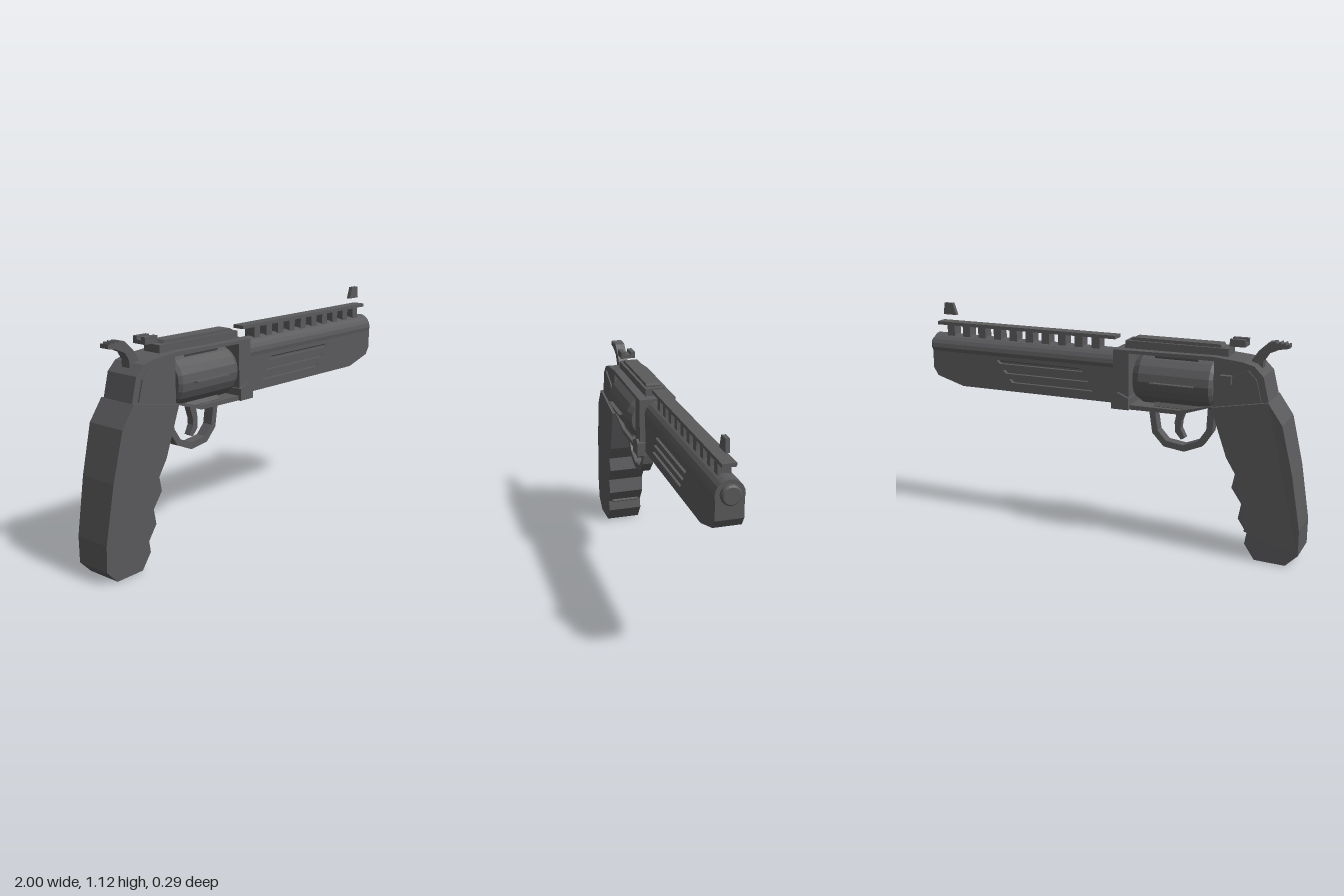
import * as THREE from 'three';

const metal = new THREE.MeshStandardMaterial({ color: 0x5a5a5c, flatShading: true });
metal.name = 'dark grey';

export function createModel() {
  const model = new THREE.Group();
  model.name = 'revolver';

  const add = (name, geometry) => {
    const mesh = new THREE.Mesh(geometry, metal);
    mesh.name = name;
    model.add(mesh);
    return mesh;
  };
  const points = (list) => list.map(([x, y]) => new THREE.Vector2(x, y));
  // Side profile extruded to +-half about z = 0
  const slab = (outline, half, holes = []) => {
    const shape = new THREE.Shape(points(outline));
    holes.forEach((h) => shape.holes.push(new THREE.Path(points(h))));
    const g = new THREE.ExtrudeGeometry(shape, { depth: half * 2, bevelEnabled: false });
    return g.translate(0, 0, -half);
  };
  // Box from x and y ranges and half width
  const block = (x0, x1, y0, y1, half, z = 0) =>
    new THREE.BoxGeometry(x1 - x0, y1 - y0, half * 2).translate((x0 + x1) / 2, (y0 + y1) / 2, z);
  // Rod along x, from [x, radius] pairs
  const rod = (profile, y, sides) =>
    new THREE.LatheGeometry(points(profile.map(([x, r]) => [r, x])), sides)
      .rotateZ(-Math.PI / 2).translate(0, y, 0);

  // Grip with finger grooves, narrowing towards the butt
  const grip = slab([
    [-0.83, 0.79], [-0.9, 0.69], [-0.955, 0.46], [-1, 0.19], [-1, 0.065], [-0.94, 0.005],
    [-0.79, 0.01], [-0.74, 0.085], [-0.75, 0.14], [-0.705, 0.21], [-0.72, 0.285],
    [-0.67, 0.36], [-0.685, 0.43], [-0.64, 0.505], [-0.56, 0.74],
  ], 1);
  const pos = grip.attributes.position;
  for (let i = 0; i < pos.count; i++) {
    pos.setZ(i, pos.getZ(i) * (0.09 + 0.017 * Math.min(1, pos.getY(i) / 0.7)));
  }
  grip.computeVertexNormals();
  add('grip', grip);
  add('gripPin', new THREE.CylinderGeometry(0.008, 0.008, 0.15, 8)
    .rotateX(Math.PI / 2).translate(-0.738, 0.145, 0));

  // Frame with the cylinder window
  add('frame', slab([
    [-0.83, 0.785], [-0.8, 0.905], [-0.755, 0.95], [-0.7, 0.965], [-0.56, 0.978],
    [-0.06, 0.972], [-0.06, 0.682], [-0.4, 0.685], [-0.56, 0.738],
  ], 0.092, [[[-0.565, 0.745], [-0.4, 0.705], [-0.14, 0.705], [-0.14, 0.958], [-0.565, 0.958]]]));
  add('frameCrane', slab([
    [-0.145, 0.682], [-0.055, 0.682], [-0.055, 0.75], [-0.085, 0.765], [-0.145, 0.74],
  ], 0.106));
  add('sidePlates', slab([
    [-0.795, 0.79], [-0.77, 0.89], [-0.73, 0.93], [-0.62, 0.88], [-0.62, 0.765],
  ], 0.1));
  add('latch', block(-0.655, -0.6, 0.86, 0.9, 0.015, -0.105));

  // Cylinder drum with axle and thin flute ridges
  add('drum', rod([
    [-0.565, 0], [-0.565, 0.112], [-0.55, 0.126], [-0.2, 0.126], [-0.165, 0.105], [-0.165, 0],
  ], 0.835, 20));
  add('drumAxle', rod([[-0.6, 0], [-0.6, 0.04], [-0.13, 0.04], [-0.13, 0]], 0.835, 12));
  for (let i = 0; i < 6; i++) {
    const ridge = block(-0.48, -0.265, -0.0025, 0.0025, 0.014, 0.133);
    add('drumRidge', ridge.rotateX((i * Math.PI) / 3).translate(0, 0.835, 0));
  }

  // Top strap and rear sight
  add('topStrap', block(-0.62, -0.105, 0.975, 1.012, 0.05));
  add('topStrapRidge', slab([
    [-0.585, 1.01], [-0.13, 1.01], [-0.13, 1.02], [-0.145, 1.027], [-0.575, 1.027],
  ], 0.036));
  add('rearSightBase', block(-0.695, -0.62, 1.022, 1.04, 0.038));
  for (const s of [-1, 1]) add('rearSightPost', block(-0.695, -0.62, 1.04, 1.056, 0.012, s * 0.026));

  // Barrel shroud with three slanted vents each side
  const vents = [0.838, 0.79, 0.745].map((y, i) => {
    const x = [0.115, 0.085, 0.06][i];
    const end = [0.58, 0.545, 0.51][i];
    return [[x, y], [end, y], [end + 0.017, y + 0.018], [x + 0.02, y + 0.018]];
  });
  add('barrelShroud', slab([
    [-0.06, 0.7], [0.8, 0.7], [0.95, 0.745], [0.975, 0.785], [0.975, 0.9], [-0.06, 0.9],
  ], 0.064, vents));
  add('ventCore', block(0.03, 0.63, 0.73, 0.87, 0.045));
  add('barrel', rod([[-0.06, 0], [-0.06, 0.067], [0.975, 0.067], [0.975, 0]], 0.895, 20));
  add('muzzle', rod([[0.97, 0], [0.97, 0.045], [0.992, 0.045], [1, 0.038], [1, 0]], 0.899, 20));

  // Ventilated rib and front sight
  add('rib', block(-0.045, 0.96, 1.008, 1.025, 0.032));
  for (let i = 0; i < 10; i++) {
    const x = 0.04 + i * 0.0912;
    add('ribSupport', block(x, x + 0.042, 0.945, 1.01, 0.03));
  }
  add('frontSight', slab([[0.86, 1.06], [0.935, 1.06], [0.928, 1.12], [0.88, 1.12]], 0.01));

  // Hammer with a serrated spur
  add('hammer', slab([
    [-0.895, 1.03], [-0.895, 1.05], [-0.88, 1.045], [-0.876, 1.056], [-0.86, 1.047],
    [-0.855, 1.058], [-0.838, 1.048], [-0.833, 1.058], [-0.8, 1.052], [-0.755, 1.01],
    [-0.725, 0.965], [-0.725, 0.92], [-0.775, 0.92], [-0.778, 0.965], [-0.8, 1], [-0.85, 1.022],
  ], 0.025));

  // Trigger guard and trigger
  add('triggerGuard', slab([
    [-0.555, 0.72], [-0.545, 0.595], [-0.495, 0.52], [-0.405, 0.483], [-0.3, 0.497],
    [-0.24, 0.56], [-0.22, 0.69], [-0.25, 0.69], [-0.268, 0.575], [-0.312, 0.527],
    [-0.4, 0.515], [-0.475, 0.545], [-0.515, 0.605], [-0.52, 0.71],
  ], 0.027));
  add('trigger', slab([
    [-0.405, 0.69], [-0.365, 0.69], [-0.352, 0.625], [-0.355, 0.575], [-0.385, 0.54],
    [-0.405, 0.55], [-0.382, 0.595], [-0.385, 0.63],
  ], 0.018));

  return model;
}
